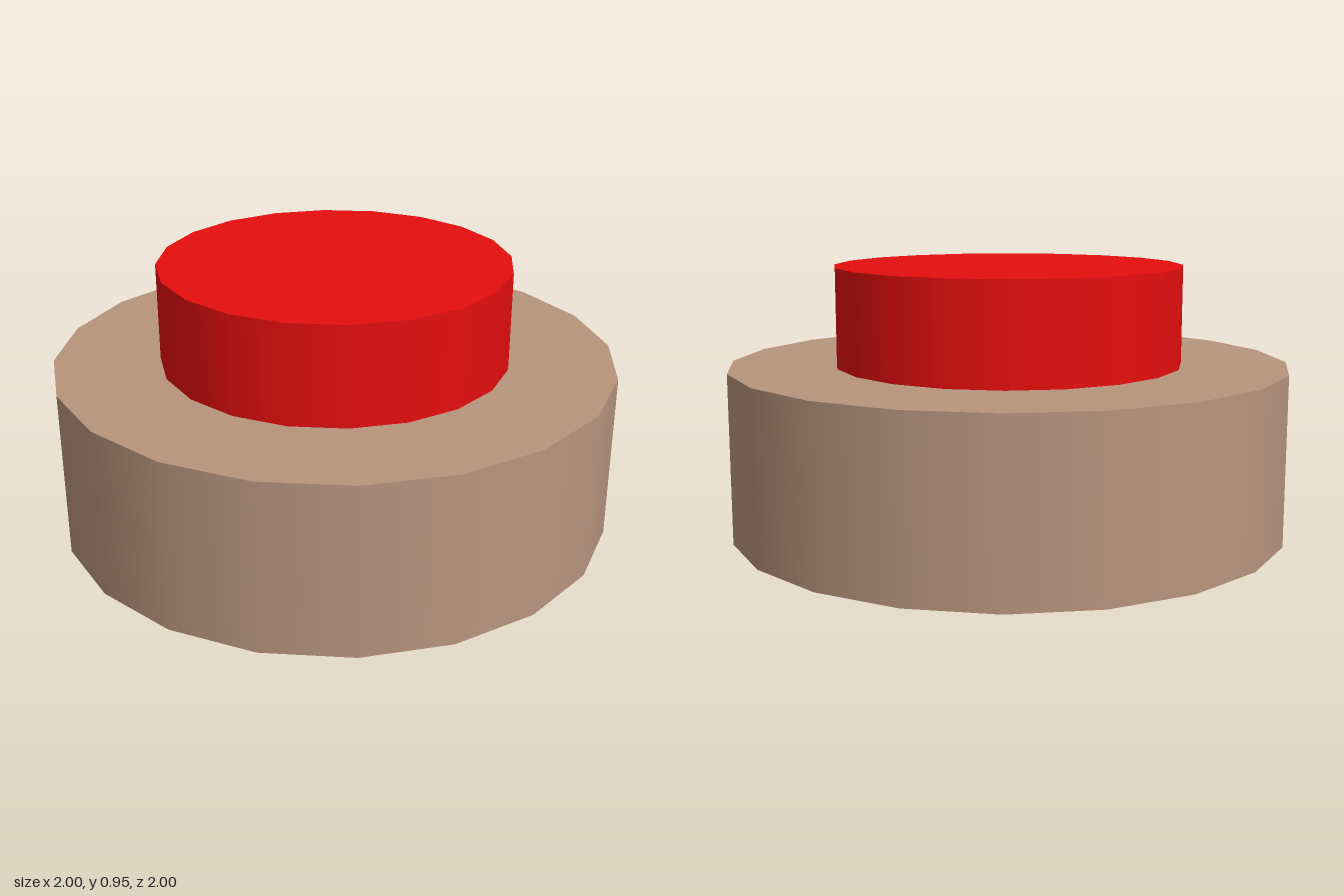
import * as THREE from 'three';

const SIDES = 20;

// Upright drum standing on height y
function drum(name, radius, y, height, color) {
  const geometry = new THREE.CylinderGeometry(radius, radius, height, SIDES);
  geometry.translate(0, y + height / 2, 0);
  const mesh = new THREE.Mesh(geometry, new THREE.MeshStandardMaterial({ color }));
  mesh.name = name;
  return mesh;
}

export function createModel() {
  const model = new THREE.Group();
  model.name = 'pushButton';
  // Wide housing with the pressable cap on top
  model.add(drum('base', 1, 0, 0.6, 0xb8947d));
  model.add(drum('buttonCap', 0.623, 0.6, 0.35, 0xe60e0e));
  return model;
}
